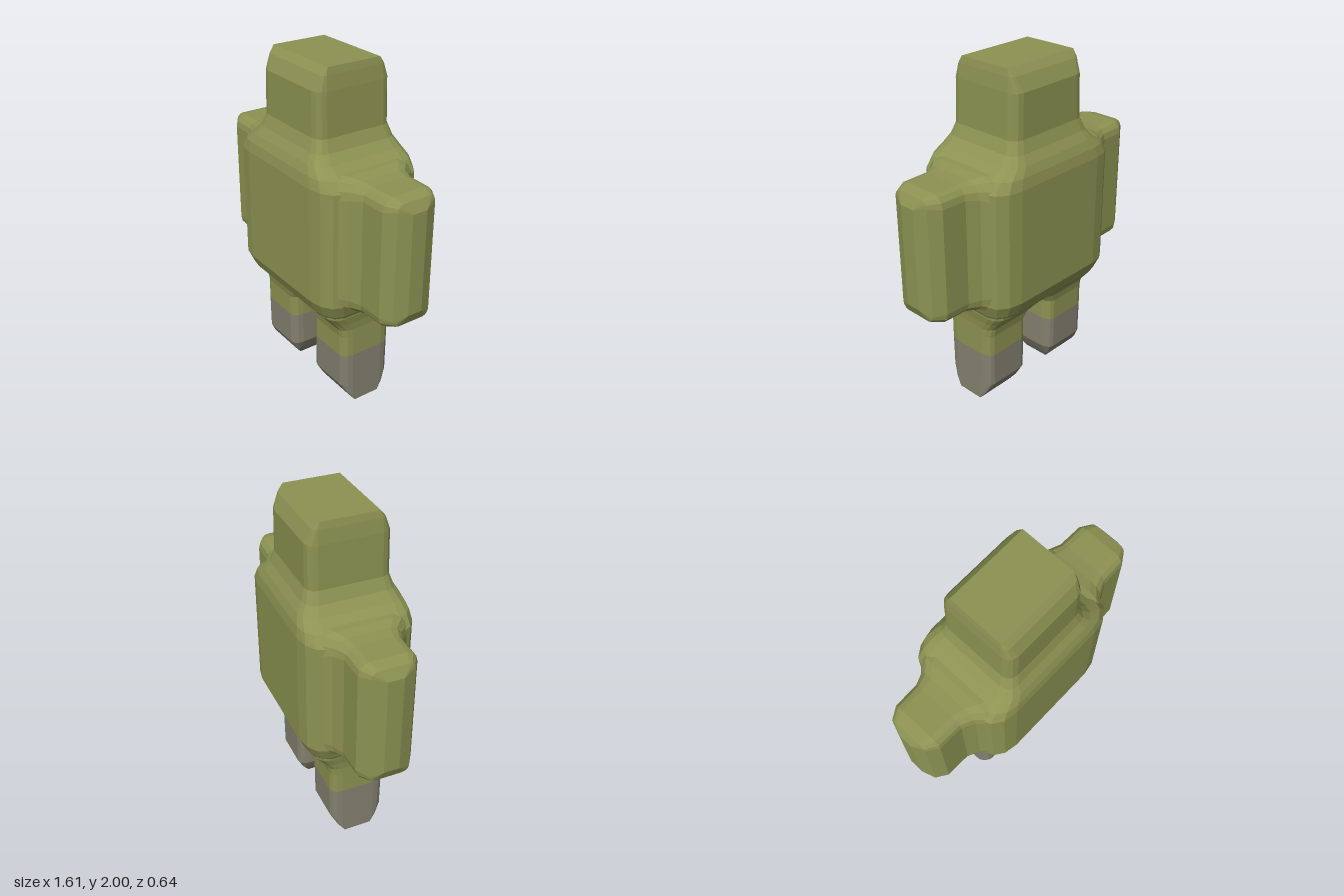
import * as THREE from 'three';

// Rounded-rectangle loop: centre c, half sizes hx/hz, corner sizes rx/rz
function loop(c, hx, hz, rx, rz) {
  const pts = [];
  for (let q = 0; q < 4; q++) {
    const sx = q === 0 || q === 3 ? 1 : -1;
    const sz = q < 2 ? 1 : -1;
    for (let k = 0; k < 4; k++) {
      const a = (q + k / 3) * Math.PI / 2;
      pts.push([c + sx * (hx - rx) + rx * Math.cos(a), sz * (hz - rz) + rz * Math.sin(a)]);
    }
  }
  return pts;
}

// Skin a stack of sections [y, centre, hx, hz, rx, rz] and cap both ends
function loft(sections) {
  const pos = [], idx = [], n = 16;
  for (const [y, ...s] of sections) {
    for (const [x, z] of loop(...s)) pos.push(x, y, z);
  }
  for (let i = 0; i < sections.length - 1; i++) {
    for (let j = 0; j < n; j++) {
      const a = i * n + j, b = i * n + (j + 1) % n;
      idx.push(a, a + n, b + n, a, b + n, b);
    }
  }
  const top = (sections.length - 1) * n;
  for (let j = 1; j < n - 1; j++) {
    idx.push(0, j, j + 1, top, top + j + 1, top + j);
  }
  const g = new THREE.BufferGeometry();
  g.setAttribute('position', new THREE.Float32BufferAttribute(pos, 3));
  g.setIndex(idx);
  const flat = g.toNonIndexed();
  flat.computeVertexNormals();
  return flat;
}

export function createModel() {
  const green = new THREE.MeshStandardMaterial({ color: 0x8c9352 });
  green.name = 'olive green';
  const grey = new THREE.MeshStandardMaterial({ color: 0x83816f });
  grey.name = 'warm grey';
  green.flatShading = grey.flatShading = true;

  const model = new THREE.Group();
  model.name = 'figure';
  const add = (name, geometry, material, side = 1) => {
    const mesh = new THREE.Mesh(geometry, material);
    mesh.name = name;
    mesh.scale.x = side;
    model.add(mesh);
  };

  // Torso, closing in towards the neck
  add('torso', loft([
    [0.60, 0, 0.42, 0.25, 0.12, 0.08],
    [0.64, 0, 0.44, 0.285, 0.14, 0.1],
    [0.72, 0, 0.465, 0.32, 0.16, 0.11],
    [1.40, 0, 0.465, 0.32, 0.16, 0.11],
    [1.46, 0, 0.42, 0.31, 0.13, 0.1],
    [1.51, 0, 0.345, 0.29, 0.1, 0.08],
    [1.56, 0, 0.3, 0.26, 0.07, 0.065],
    [1.63, 0, 0.272, 0.237, 0.06, 0.055],
  ]), green);

  // Head, with a flat sharp-edged top
  add('head', loft([
    [1.63, 0, 0.272, 0.237, 0.06, 0.055],
    [1.88, 0, 0.266, 0.235, 0.06, 0.055],
    [1.96, 0, 0.258, 0.2, 0.03, 0.025],
    [2.00, 0, 0.25, 0.165, 0, 0],
  ]), green);

  // Arms run sideways and flare into the torso
  const arm = loft([
    [0.36, -1.07, 0.41, 0.29, 0.14, 0.1],
    [0.43, -1.07, 0.405, 0.265, 0.12, 0.1],
    [0.49, -1.073, 0.388, 0.2, 0.09, 0.08],
    [0.56, -1.078, 0.377, 0.167, 0.07, 0.06],
    [0.71, -1.078, 0.377, 0.163, 0.07, 0.06],
    [0.775, -1.081, 0.357, 0.12, 0.04, 0.04],
    [0.805, -1.085, 0.295, 0.045, 0, 0],
  ]).rotateZ(-Math.PI / 2);

  // Legs: straight outside, tapered inside, flaring into the hips
  const leg = loft([
    [0.33, 0.2575, 0.1575, 0.165, 0.045, 0.065],
    [0.46, 0.2575, 0.1575, 0.165, 0.045, 0.065],
    [0.51, 0.245, 0.17, 0.175, 0.05, 0.065],
    [0.56, 0.225, 0.195, 0.215, 0.07, 0.07],
    [0.61, 0.21, 0.22, 0.258, 0.09, 0.08],
    [0.66, 0.21, 0.22, 0.27, 0.1, 0.08],
  ]);
  const foot = loft([
    [0.00, 0.29, 0.125, 0.083, 0, 0],
    [0.05, 0.275, 0.14, 0.122, 0.015, 0.025],
    [0.12, 0.2575, 0.1575, 0.162, 0.045, 0.065],
    [0.33, 0.2575, 0.1575, 0.165, 0.045, 0.065],
  ]);

  for (const [name, side] of [['left', 1], ['right', -1]]) {
    add(name + 'Arm', arm, green, side);
    add(name + 'Leg', leg, green, side);
    add(name + 'Foot', foot, grey, side);
  }
  return model;
}
